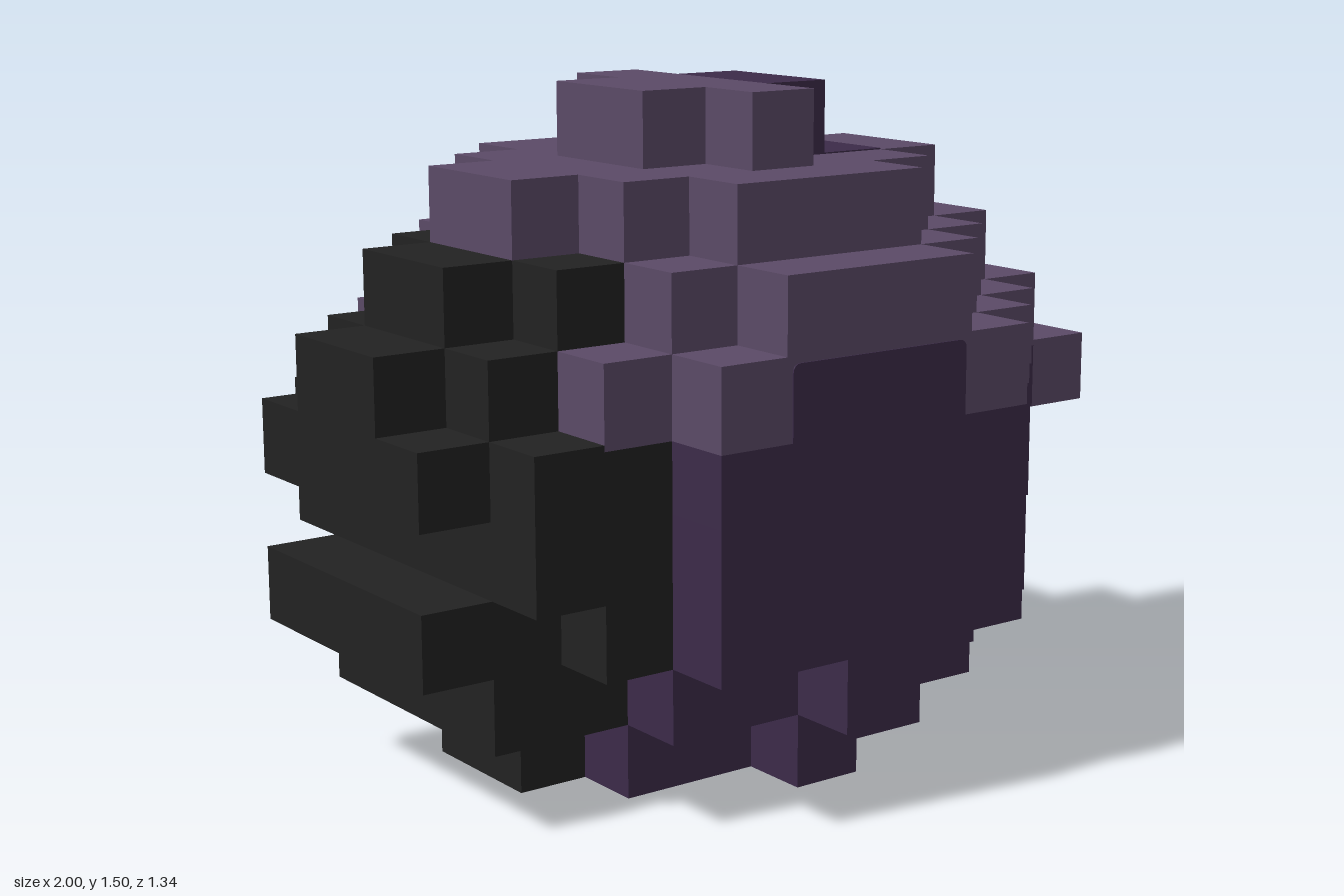
import * as THREE from 'three';
import { mergeGeometries } from 'three/addons/utils/BufferGeometryUtils.js';

const U = 1 / 6; // one block

function material(name, color) {
  const m = new THREE.MeshStandardMaterial({ color });
  m.name = name;
  return m;
}

export function createModel() {
  const group = new THREE.Group();
  const light = material('lightPurple', 0x5b4a67);
  const dark = material('darkPurple', 0x3c2b49);
  const black = material('black', 0x222222);

  function box(x0, x1, y0, y1, z0, z1) {
    const g = new THREE.BoxGeometry(x1 - x0, y1 - y0, z1 - z0);
    return g.translate((x0 + x1) / 2, (y0 + y1) / 2, (z0 + z1) / 2);
  }

  // A run of blocks i0..i1 along x in row d (0 = the two middle rows), mirrored in z
  function run(i0, i1, d, y0, y1) {
    const x0 = -1 + i0 * U, x1 = -1 + (i1 + 1) * U;
    if (d === 0) return [box(x0, x1, y0, y1, -U, U)];
    return [
      box(x0, x1, y0, y1, d * U, (d + 1) * U),
      box(x0, x1, y0, y1, -(d + 1) * U, -d * U),
    ];
  }

  function add(name, mat, geometries) {
    const mesh = new THREE.Mesh(mergeGeometries(geometries), mat);
    mesh.name = name;
    group.add(mesh);
  }

  const SPLIT = 0.82; // height where the light cap meets the dark bowl
  const wide = [[0, 10], [0, 9], [1, 8], [3, 7]];
  // Each layer: bottom, top, upper colour?, runs from the middle row outwards,
  // and the block where black ends in each row
  const layers = [
    [0, U, false, [[2, 7], [3, 7], [5, 5]], [3, 3, 3]],
    [U, 2 * U, false, [[1, 8], [1, 8], [3, 7], [5, 5]], [3, 3, 3, 3]],
    [2 * U, 3 * U, false, [[0, 9], [0, 8], [2, 8], [3, 7]], [3, 3, 3, 3]],
    [3 * U, 4 * U, false, [[1, 9], [1, 9], [1, 8], [3, 7]], [3, 3, 3, 3]],
    [4 * U, SPLIT, false, wide, [3, 3, 3, 3]],
    [SPLIT, 5 * U, true, wide, [3, 3, 2, 3]],
    [5 * U, 6 * U, true, [[0, 10], [1, 9], [2, 8], [3, 7]], [2, 2, 2, 2]],
    [6 * U, 7 * U, true, [[1, 9], [2, 8], [3, 7], [4, 6]], [2, 3, 3, 3]],
    [7 * U, 8 * U, true, [[2, 8], [3, 7], [4, 6]], [0, 0, 0]],
    [8 * U, 9 * U, true, [[4, 5], [5, 5]], [0, 0]],
  ];

  const cap = [], bowl = [], back = [];
  for (const [y0, y1, upper, rows, ends] of layers) {
    rows.forEach(([i0, i1], d) => {
      const end = Math.max(i0, ends[d]);
      if (end > i0) back.push(...run(i0, end - 1, d, y0, y1));
      if (end <= i1) (upper ? cap : bowl).push(...run(end, i1, d, y0, y1));
    });
  }
  add('upperShell', light, cap);
  add('lowerShell', dark, bowl);
  add('blackRim', black, back);

  // Pointed tip on the +x side
  add('tip', light, run(11, 11, 0, 4 * U, 5 * U));

  // Dark block and flat patch on the crown
  add('crownBlock', dark, run(6, 6, 0, 8 * U, 9 * U));
  add('crownPatch', dark, run(7, 7, 0, 8 * U, 8 * U + 0.003));

  // Raised dark patches on the front and back faces, with rounded upper corners
  const s = new THREE.Shape();
  s.moveTo(-0.32, SPLIT);
  s.lineTo(0.15, SPLIT);
  s.lineTo(0.15, 0.965);
  s.quadraticCurveTo(0.15, 0.985, 0.13, 0.985);
  s.lineTo(-0.30, 0.985);
  s.quadraticCurveTo(-0.32, 0.985, -0.32, 0.965);
  const plate = () => new THREE.ExtrudeGeometry(s, { depth: 0.003, bevelEnabled: false, curveSegments: 4 });
  add('facePatches', dark, [
    plate().translate(0, 0, 4 * U),
    plate().translate(0, 0, -4 * U - 0.003),
  ]);

  return group;
}
